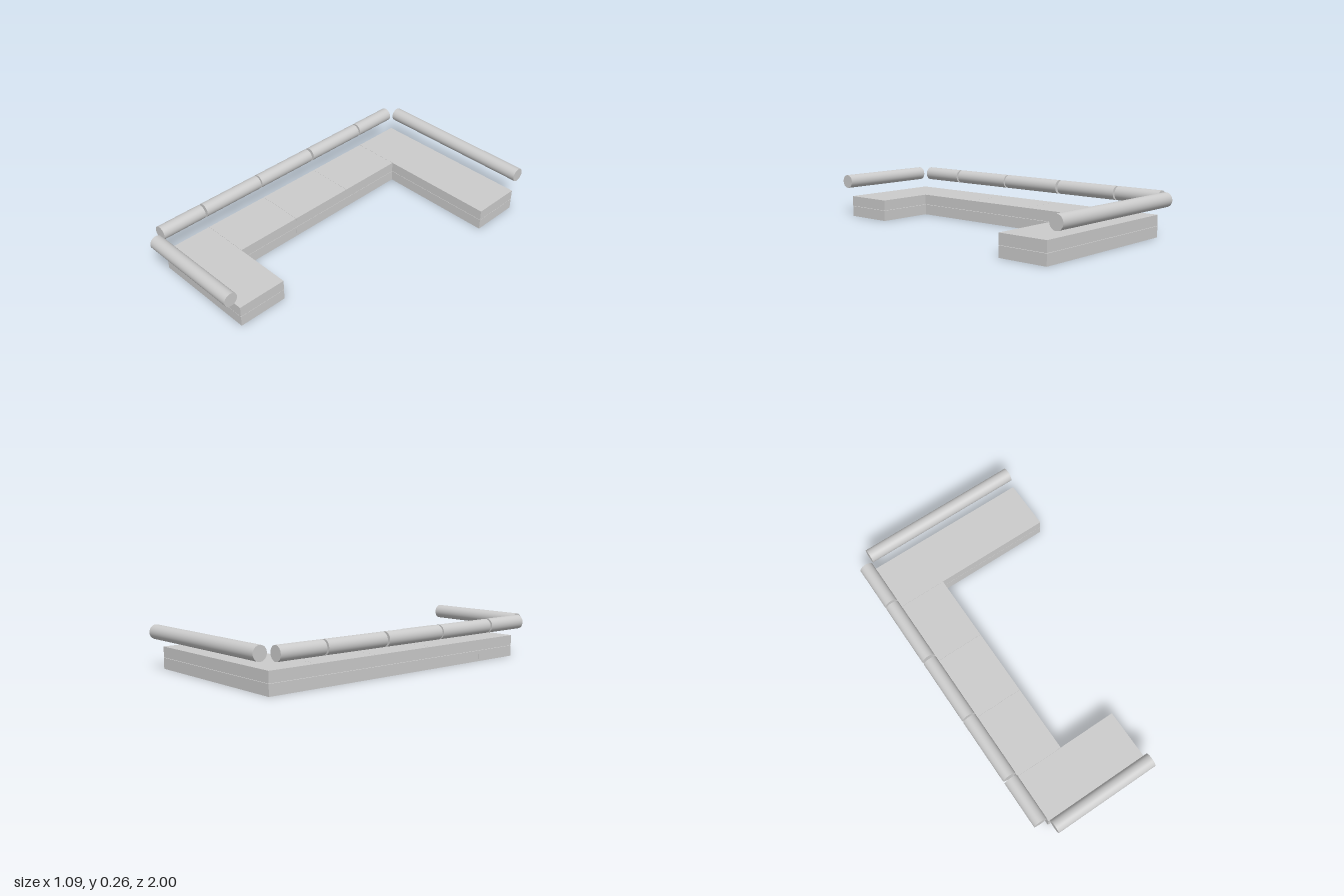
import * as THREE from 'three';

export function createModel() {
  const sofa = new THREE.Group();
  sofa.name = 'modularSofa';
  const material = new THREE.MeshStandardMaterial({ color: 0xcccccc });

  const add = (name, geometry, x, y, z) => {
    const mesh = new THREE.Mesh(geometry, material);
    mesh.name = name;
    mesh.position.set(x, y, z);
    sofa.add(mesh);
    return mesh;
  };

  // Each seat module is a base slab with a cushion slab on top
  const layers = [['Base', 0, 0.063], ['Cushion', 0.065, 0.127]];
  const seat = (name, x0, x1, z0, z1) => {
    for (const [layer, y0, y1] of layers) {
      add(name + layer, new THREE.BoxGeometry(x1 - x0, y1 - y0, z1 - z0),
        (x0 + x1) / 2, (y0 + y1) / 2, (z0 + z1) / 2);
    }
  };
  const outer = -0.455, inner = -0.165;
  seat('backArm', outer, 0.542, -0.912, -0.614);
  seat('middleSeat1', outer, inner, -0.613, -0.205);
  seat('middleSeat2', outer, inner, -0.204, 0.203);
  seat('middleSeat3', outer, inner, 0.204, 0.611);
  seat('frontArm', outer, 0.188, 0.612, 0.908);

  // Round bolsters float above the outer edges
  const radius = 0.041, height = 0.2155;
  const bolster = (name, axis, from, to, offset) => {
    const geometry = new THREE.CylinderGeometry(radius, radius, to - from, 48);
    const mid = (from + to) / 2;
    if (axis === 'x') {
      geometry.rotateZ(Math.PI / 2);
      add(name, geometry, mid, height, offset);
    } else {
      geometry.rotateX(Math.PI / 2);
      add(name, geometry, offset, height, mid);
    }
  };
  bolster('backBolster', 'x', -0.453, 0.535, -0.959);
  bolster('frontBolster', 'x', -0.455, 0.186, 0.959);
  const spans = [[-0.905, -0.623], [-0.611, -0.216], [-0.2, 0.199], [0.209, 0.605], [0.619, 0.901]];
  spans.forEach(([from, to], i) => bolster('sideBolster' + (i + 1), 'z', from, to, -0.504));

  return sofa;
}
